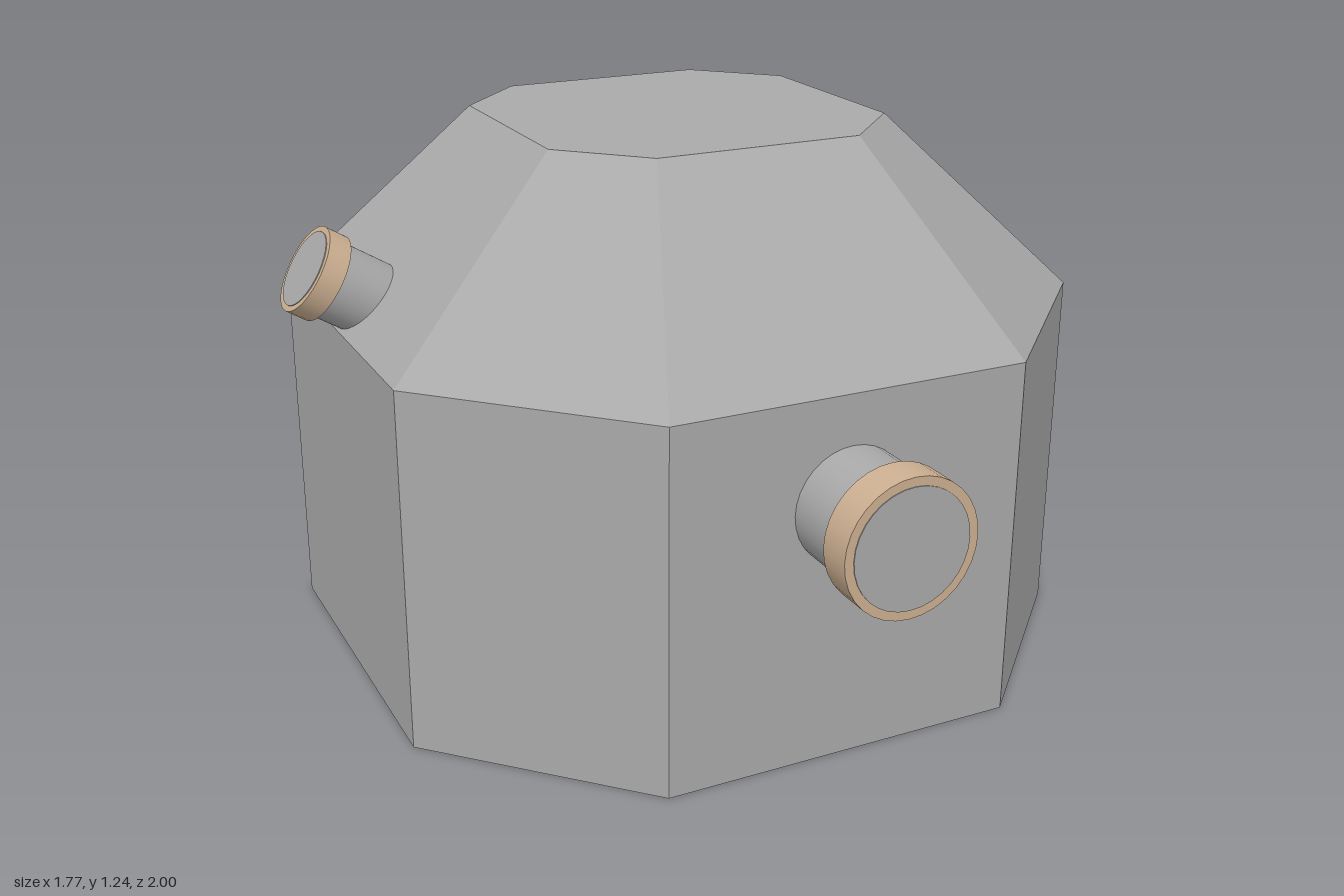
import * as THREE from 'three';

const grey = new THREE.MeshStandardMaterial({ name: 'stone grey', color: 0xaaaaaa });
const tan = new THREE.MeshStandardMaterial({ name: 'tan', color: 0xcdb092 });

// Eight corners of a square with cut corners, counter-clockwise seen from above
function octagon(half, flat, y) {
  const a = half, b = flat;
  return [[a, b], [a, -b], [b, -a], [-b, -a], [-a, -b], [-a, b], [-b, a], [b, a]]
    .map(([x, z]) => [x, y, z]);
}

// Flat-faced solid through a stack of octagonal loops, closed at both ends
function loft(loops) {
  const pos = [];
  const tri = (...pts) => pts.forEach((p) => pos.push(...p));
  for (let k = 0; k < loops.length - 1; k++) {
    for (let i = 0; i < 8; i++) {
      const j = (i + 1) % 8, lo = loops[k], hi = loops[k + 1];
      tri(lo[i], lo[j], hi[j]);
      tri(lo[i], hi[j], hi[i]);
    }
  }
  const bottom = loops[0], top = loops[loops.length - 1];
  for (let i = 1; i < 7; i++) {
    tri(top[0], top[i], top[i + 1]);
    tri(bottom[0], bottom[i + 1], bottom[i]);
  }
  const geo = new THREE.BufferGeometry();
  geo.setAttribute('position', new THREE.Float32BufferAttribute(pos, 3));
  geo.computeVertexNormals();
  return geo;
}

// Pipe with a wide collar and a flush end disc; the origin is the outer face, +y points out
function nozzle(name, scale, length) {
  const group = new THREE.Group();
  group.name = name;
  const add = (part, radius, height, y, material) => {
    const mesh = new THREE.Mesh(new THREE.CylinderGeometry(radius, radius, height, 32), material);
    mesh.name = part;
    mesh.position.y = y;
    group.add(mesh);
  };
  const collar = 0.08 * scale;
  add('pipe', 0.132 * scale, length - collar, -(length + collar) / 2, grey);
  add('collar', 0.153 * scale, collar, -collar / 2, tan);
  add('endDisc', 0.133 * scale, 0.004, 0, grey);
  return group;
}

export function createModel() {
  const model = new THREE.Group();
  model.name = 'octagonalTank';
  const cx = 0.056, cz = -0.057;

  // Walls and sloped roof
  const body = new THREE.Mesh(loft([
    octagon(0.828, 0.414, 0),
    octagon(0.828, 0.414, 0.828),
    octagon(0.414, 0.243, 1.242),
  ]), grey);
  body.name = 'body';
  body.position.set(cx, 0, cz);
  model.add(body);

  // Large nozzle on the front wall
  const front = nozzle('frontNozzle', 1, 0.26);
  front.rotation.x = Math.PI / 2;
  front.position.set(cx, 0.583, 0.998);
  model.add(front);

  // Small tilted nozzles on the roof
  const tilt = THREE.MathUtils.degToRad(58);
  const back = nozzle('backNozzle', 0.66, 0.24);
  back.rotation.x = -tilt;
  back.position.set(cx, 0.976, cz - 0.887);
  const right = nozzle('rightNozzle', 0.66, 0.24);
  right.rotation.z = tilt;
  right.position.set(cx - 0.887, 0.976, cz);
  model.add(back, right);

  return model;
}
